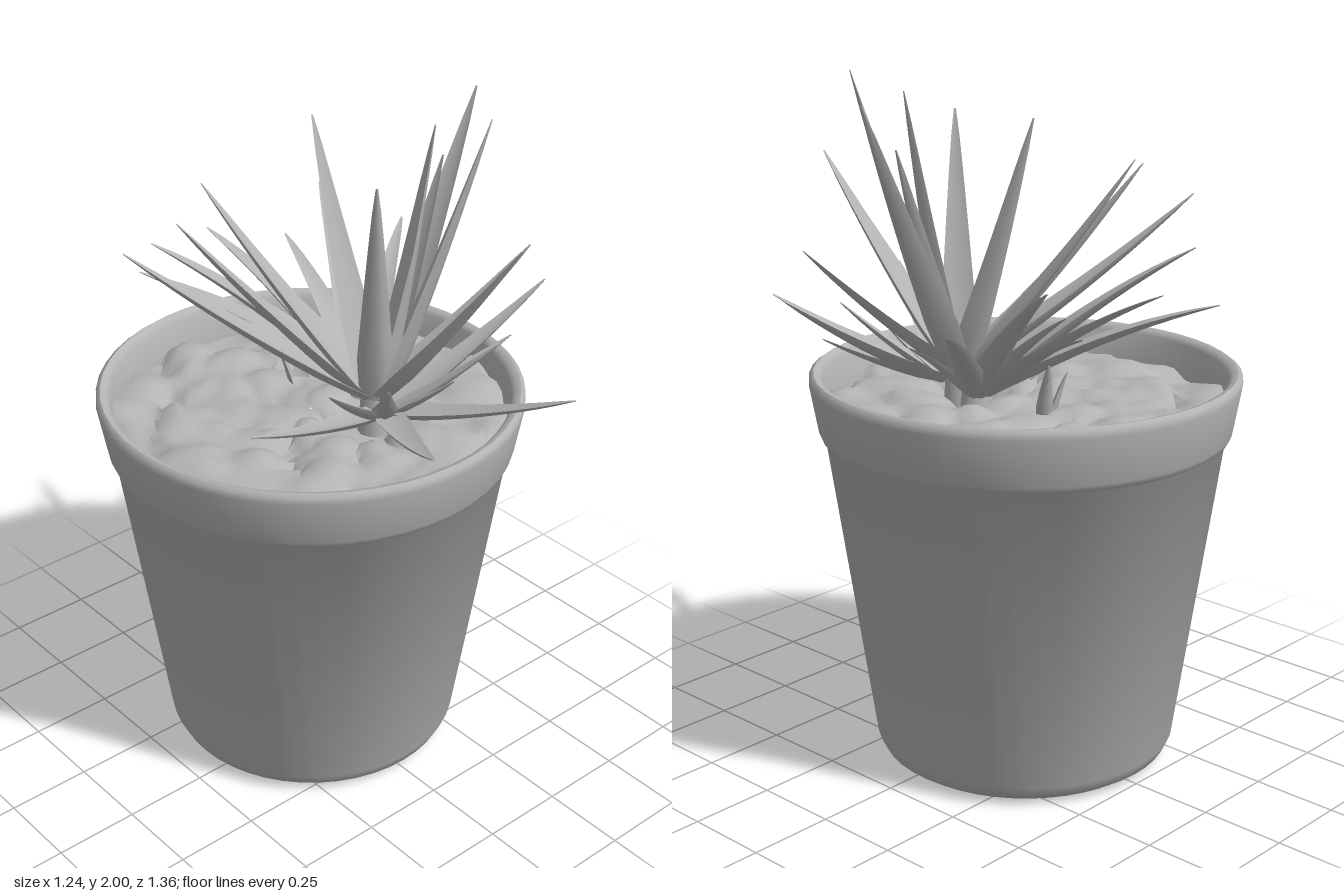
import * as THREE from 'three';
import { toCreasedNormals, mergeVertices } from 'three/addons/utils/BufferGeometryUtils.js';

const grey = new THREE.MeshStandardMaterial({ color: 0xb4b4b4 });
grey.name = 'plain grey';
const POT_Z = -0.065;

function seeded(seed) {
  return () => {
    seed = (seed * 16807) % 2147483647;
    return seed / 2147483647;
  };
}

function add(parent, name, geometry) {
  const mesh = new THREE.Mesh(geometry, grey);
  mesh.name = name;
  parent.add(mesh);
  return mesh;
}

// Tapered pot with a thick collar and an open, hollow top
function potGeometry() {
  const profile = [
    [0, 0.015], [0.34, 0.015], [0.365, 0], [0.395, 0.005], [0.425, 0.025], [0.442, 0.06],
    [0.575, 0.975], [0.588, 0.985], [0.594, 1.0], [0.618, 1.135],
    [0.617, 1.155], [0.605, 1.164], [0.59, 1.16], [0.578, 1.145], [0.568, 1.0],
  ].map(([r, y]) => new THREE.Vector2(r, y));
  return toCreasedNormals(new THREE.LatheGeometry(profile, 48), 0.9);
}

// Disc of soil raised into rounded, pebble-like lumps
function soilGeometry() {
  const rand = seeded(77);
  const lumps = [];
  for (let i = 0; i < 150; i++) {
    const a = rand() * Math.PI * 2, d = 0.56 * Math.sqrt(rand());
    lumps.push({ x: d * Math.cos(a), z: d * Math.sin(a), r: 0.05 + 0.05 * rand(), h: 0.025 + 0.035 * rand() });
  }
  const geo = new THREE.RingGeometry(0.002, 0.574, 72, 24).rotateX(-Math.PI / 2);
  const p = geo.attributes.position;
  for (let i = 0; i < p.count; i++) {
    let y = 0;
    for (const l of lumps) {
      const q = Math.hypot(p.getX(i) - l.x, p.getZ(i) - l.z) / l.r;
      if (q < 1) y = Math.max(y, l.h * Math.sqrt(1 - q * q));
    }
    p.setY(i, y);
  }
  geo.deleteAttribute('uv');
  geo.deleteAttribute('normal');
  return toCreasedNormals(mergeVertices(geo), 0.9);
}

// Channelled leaf swept along a bent path, tapering to a point; longer leaves are wider
const SECTION = [[-1, 0.3], [-0.6, -0.2], [0, -0.45], [0.6, -0.2], [1, 0.3], [0, 0.02]];
function leafGeometry(base, tip, bend) {
  const length = base.distanceTo(tip);
  const halfWidth = 0.015 + 0.058 * length;
  const mid = base.clone().lerp(tip, 0.5);
  mid.y += bend * length;
  const path = new THREE.QuadraticBezierCurve3(base, mid, tip);
  const out = tip.clone().sub(base).setY(0).normalize();
  const side = new THREE.Vector3(0, 1, 0).cross(out).normalize();
  const rings = 10, n = SECTION.length, pos = [], index = [];
  for (let i = 0; i <= rings; i++) {
    const t = i / rings;
    const c = path.getPoint(t);
    const up = path.getTangent(t).cross(side).normalize();
    const w = halfWidth * Math.min(1, 0.7 + 1.5 * t) * Math.pow(1 - t, 0.8) + 0.003;
    for (const [s, u] of SECTION) {
      const v = c.clone().addScaledVector(side, s * w).addScaledVector(up, u * w);
      pos.push(v.x, v.y, v.z);
    }
  }
  for (let i = 0; i < rings; i++) {
    for (let j = 0; j < n; j++) {
      const a = i * n + j, b = i * n + (j + 1) % n;
      index.push(a, b, b + n, a, b + n, a + n);
    }
  }
  for (let j = 1; j < n - 1; j++) {
    index.push(0, j + 1, j, rings * n, rings * n + j, rings * n + j + 1);
  }
  const geo = new THREE.BufferGeometry();
  geo.setAttribute('position', new THREE.Float32BufferAttribute(pos, 3));
  geo.setIndex(index);
  return toCreasedNormals(geo, 0.8);
}

// One rosette: leaves run from a shared base out to their tips
function addRosette(model, name, base, bend, tips) {
  const group = new THREE.Group();
  group.name = name;
  const centre = new THREE.Vector3(...base);
  for (const point of tips) {
    const tip = new THREE.Vector3(...point);
    // Start each leaf slightly out from the stem on its own side
    const start = centre.clone().add(tip.clone().sub(centre).setY(0).setLength(0.025));
    add(group, 'leaf', leafGeometry(start, tip, bend));
  }
  model.add(group);
}

// Short stem reaching from the soil into a rosette
function addStem(model, x, z, top) {
  const height = top - 1.03;
  add(model, 'stem', new THREE.CylinderGeometry(0.035, 0.05, height, 12))
    .position.set(x, 1.03 + height / 2, z);
}

export function createModel() {
  const model = new THREE.Group();
  model.name = 'pottedSucculent';

  add(model, 'pot', potGeometry()).position.z = POT_Z;
  add(model, 'soil', soilGeometry()).position.set(0, 1.04, POT_Z);

  addStem(model, 0.1, 0.1, 1.24);
  addRosette(model, 'tallRosette', [0.1, 1.16, 0.1], -0.05, [
    [-0.47, 1.63, -0.29], [-0.36, 1.72, -0.19], [-0.2, 1.76, -0.29], [-0.03, 1.87, 0.24],
    [0.13, 1.9, -0.21], [0.3, 2, 0.32], [0.25, 1.95, 0.16], [0.54, 1.95, 0.02],
    [0.36, 1.81, 0.08], [0.19, 1.74, 0.56], [0.55, 1.54, 0.25], [0.17, 1.7, 0.2],
  ]);

  addStem(model, 0.17, -0.03, 1.17);
  addRosette(model, 'backRosette', [0.17, 1.12, -0.03], 0.08, [
    [-0.25, 1.53, -0.47], [-0.22, 1.39, -0.58], [0.03, 1.46, -0.58], [0.21, 1.4, -0.4],
    [0.29, 1.38, -0.53], [0.42, 1.52, -0.52], [0.6, 1.41, -0.34], [0.44, 1.3, -0.04],
  ]);

  addRosette(model, 'frontRosette', [0.1, 1.12, 0.14], -0.06, [
    [-0.22, 1.33, 0.68], [0.3, 1.31, 0.68], [-0.43, 1.26, 0.2], [-0.27, 1.38, 0.33],
    [-0.16, 1.4, 0.44], [0.62, 1.41, 0.25], [0.48, 1.28, 0.26], [0.32, 1.34, 0.36],
    [0.18, 1.27, 0.34],
  ]);

  addRosette(model, 'sprout', [0.08, 1.06, -0.2], 0.1, [[0.13, 1.23, -0.27], [0.03, 1.19, -0.25]]);
  return model;
}
